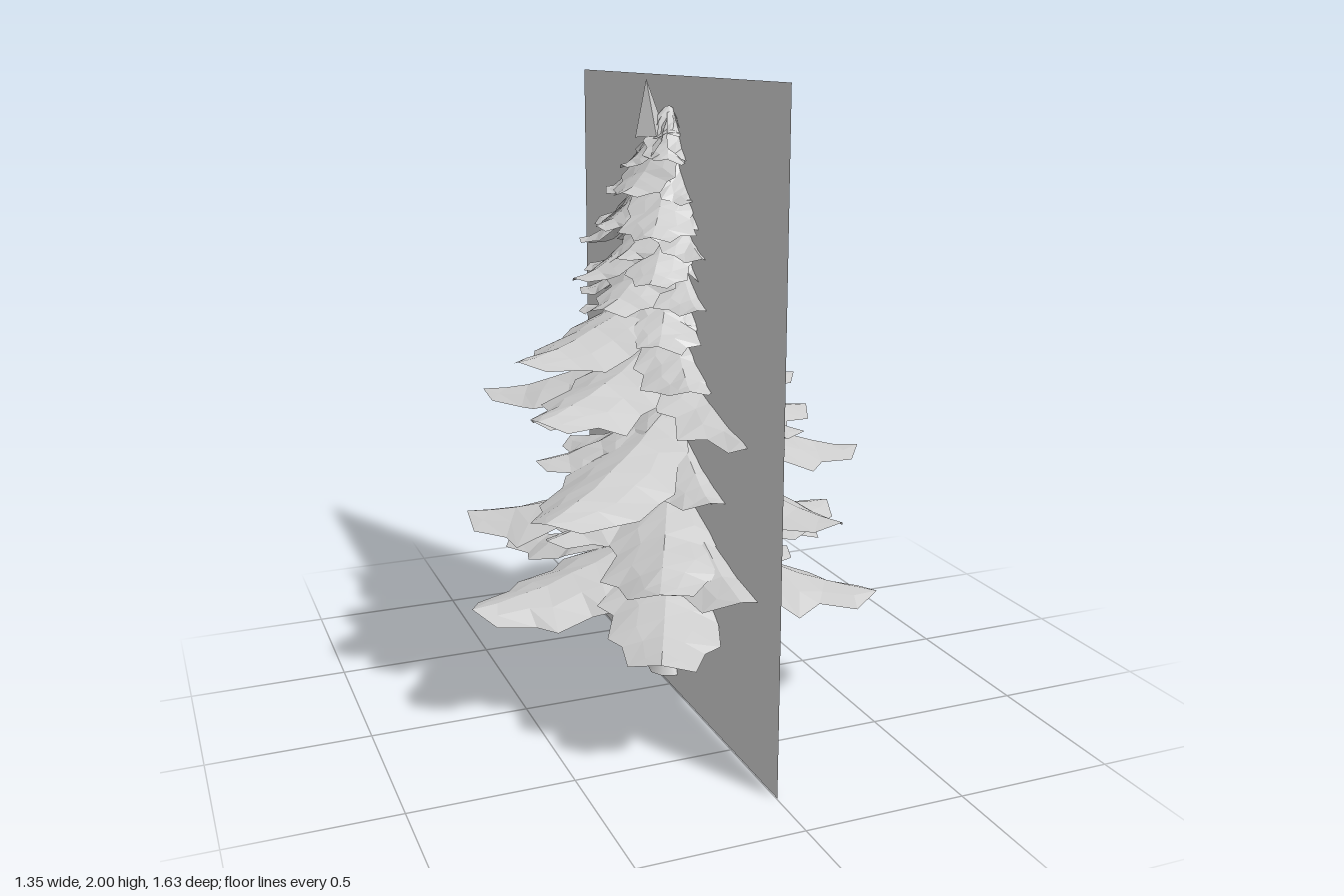
import * as THREE from 'three';

const grey = new THREE.MeshStandardMaterial({ color: 0xcccccc, flatShading: true, side: THREE.DoubleSide });
const barkGrey = new THREE.MeshStandardMaterial({ color: 0xcccccc, side: THREE.DoubleSide });

// small seeded random in -1..1
let seed = 7;
const rand = () => {
  seed = (seed * 16807) % 2147483647;
  return (seed / 2147483647) * 2 - 1;
};

// half-width of a frond along its length, with notches between the lobes
const OUTLINE = [0.35, 0.75, 0.8, 1.05, 0.85, 0.98, 0.68, 0.5, 0];
const ACROSS = [-1, -0.5, 0, 0.5, 1];

// drooping, arched frond with a ragged edge, from the trunk to its tip
function frond(tipX, tipY, tipZ, drop) {
  const length = Math.hypot(tipX, tipZ);
  const dx = tipX / length, dz = tipZ / length;
  const width = 0.05 + 0.2 * length;
  const rows = OUTLINE.length, cols = ACROSS.length;
  const positions = [], index = [];
  const twist = rand() * 0.12;
  for (let i = 0; i < rows; i++) {
    const t = i / (rows - 1);
    const w = width * OUTLINE[i] * (1 + 0.12 * rand());
    for (const v of ACROSS) {
      // lobes sweep toward the tip at the edges
      const sweep = i % 2 ? 0.05 * length * Math.abs(v) : 0;
      const along = 0.015 + (length - 0.015) * t + sweep;
      const sideways = v * w;
      const wobble = i < rows - 1 ? 0.004 * rand() : 0;
      const y = tipY + drop * Math.pow(1 - t, 1.6)
        - 0.4 * w * Math.pow(Math.abs(v), 1.3) + twist * sideways + wobble;
      positions.push(dx * along + dz * sideways, y, dz * along - dx * sideways);
    }
  }
  for (let i = 0; i < rows - 1; i++) {
    for (let j = 0; j < cols - 1; j++) {
      const a = i * cols + j, b = a + cols;
      index.push(a, a + 1, b);
      if (i < rows - 2) index.push(a + 1, b + 1, b);
    }
  }
  const geometry = new THREE.BufferGeometry();
  geometry.setAttribute('position', new THREE.Float32BufferAttribute(positions, 3));
  geometry.setIndex(index);
  geometry.computeVertexNormals();
  const mesh = new THREE.Mesh(geometry, grey);
  mesh.name = 'frond';
  return mesh;
}

// tips of the long lower fronds: x, y, z
const LOWER_TIERS = [
  [[-0.68, 0.39, 0.05], [0.55, 0.4, 0.4], [-0.03, 0.41, -0.65], [-0.28, 0.38, 0.63], [-0.37, 0.41, -0.57], [0.46, 0.41, -0.06], [0.14, 0.4, 0.42]],
  [[0.67, 0.52, -0.17], [-0.06, 0.56, 0.69], [-0.59, 0.58, -0.34], [0.3, 0.64, -0.63], [-0.28, 0.59, 0.62], [0.36, 0.6, 0.3], [-0.45, 0.6, 0.1]],
  [[0.61, 0.81, 0.14], [0.34, 0.7, 0.54], [-0.55, 0.77, 0.42], [0.38, 0.69, -0.3], [-0.05, 0.78, 0.45], [-0.2, 0.78, -0.42], [-0.42, 0.8, -0.1]],
  [[0.5, 0.92, -0.02], [-0.47, 0.97, 0.03], [0.05, 0.99, 0.6], [0.25, 0.8, -0.34], [-0.54, 1.01, -0.27], [0.12, 0.96, -0.34], [0.32, 0.93, 0.32]],
  [[0.4, 1.06, 0.08], [-0.56, 1.2, 0.22], [0.41, 1.08, -0.46], [-0.52, 1.03, 0.27], [0.24, 1.08, 0.3], [-0.22, 1.08, -0.34], [-0.08, 1.1, 0.36]],
];

// shorter, steeper fronds toward the crown: tip height, reach, drop
const UPPER_TIERS = [
  [1.23, 0.36, 0.2],
  [1.32, 0.33, 0.22],
  [1.4, 0.31, 0.22],
  [1.48, 0.27, 0.2],
  [1.56, 0.28, 0.22],
  [1.65, 0.2, 0.18],
  [1.74, 0.14, 0.15],
];

export function createModel() {
  seed = 7;
  const tree = new THREE.Group();
  tree.name = 'conifer';

  // trunk with a flared foot
  const profile = [[0.066, 0.06], [0.05, 0.095], [0.042, 0.11], [0.04, 0.5], [0.03, 1.1], [0.012, 1.85]]
    .map(([r, y]) => new THREE.Vector2(r, y));
  const trunk = new THREE.Mesh(new THREE.LatheGeometry(profile, 9), barkGrey);
  trunk.name = 'trunk';
  trunk.position.x = -0.006;
  tree.add(trunk);

  // lower branches
  LOWER_TIERS.forEach((tips, i) => {
    const tier = new THREE.Group();
    tier.name = `lowerTier${i + 1}`;
    for (const [x, y, z] of tips) tier.add(frond(x, y, z, 0.19));
    tree.add(tier);
  });

  // upper branches, six to a tier, alternate tiers turned by half a step
  UPPER_TIERS.forEach(([y, reach, drop], i) => {
    const tier = new THREE.Group();
    tier.name = `upperTier${i + 1}`;
    for (let k = 0; k < 6; k++) {
      const angle = (k + (i % 2) * 0.5) * Math.PI / 3 + 0.12 * rand();
      const r = reach * (1 + 0.14 * rand());
      tier.add(frond(Math.cos(angle) * r, y + 0.02 * rand(), Math.sin(angle) * r, drop));
    }
    tree.add(tier);
  });

  // crown: small sprigs and the leaning top leaf
  const crown = new THREE.Group();
  crown.name = 'crown';
  for (let k = 0; k < 4; k++) {
    const angle = k * Math.PI / 2 + 0.5;
    crown.add(frond(Math.cos(angle) * 0.08, 1.83, Math.sin(angle) * 0.08, 0.07));
  }
  const topLeaf = new THREE.Mesh(new THREE.ConeGeometry(0.05, 0.17, 4, 1, true), grey);
  topLeaf.name = 'topLeaf';
  topLeaf.position.set(-0.07, 1.905, 0);
  topLeaf.rotation.z = 0.08;
  crown.add(topLeaf);
  tree.add(crown);

  // upright flat panel through the middle
  const panel = new THREE.Mesh(new THREE.PlaneGeometry(1.63, 2), grey);
  panel.name = 'uprightPanel';
  panel.rotation.y = Math.PI / 2;
  panel.position.set(0.003, 1, 0);
  tree.add(panel);

  return tree;
}
